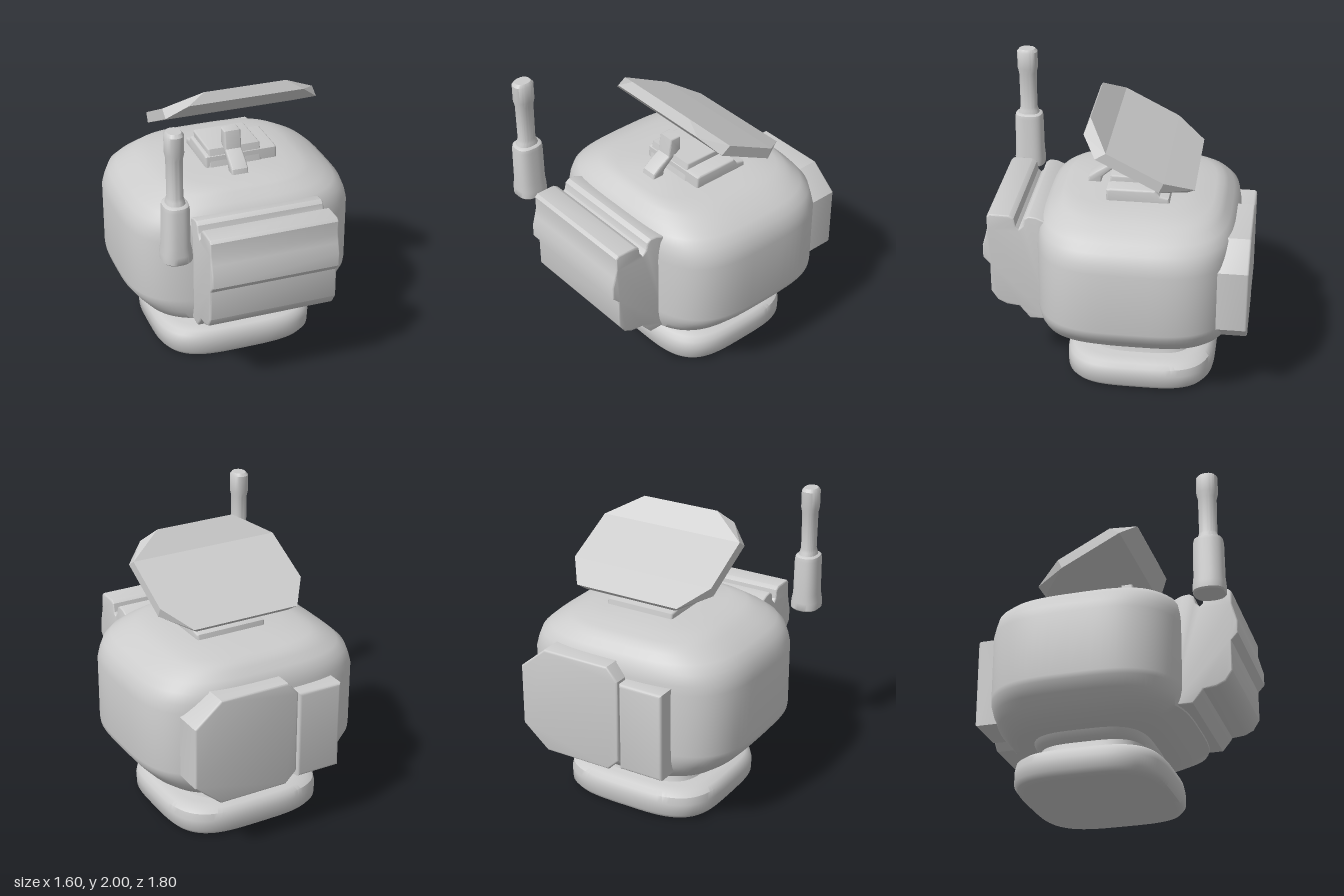
import * as THREE from 'three';
import { toCreasedNormals } from 'three/addons/utils/BufferGeometryUtils.js';

const grey = new THREE.MeshStandardMaterial({ color: 0xcccccc });
grey.name = 'lightGrey';

// Stack of rounded-square rings: [y, halfWidth, frontZ, backZ]
function loft(rings, n, segments = 96) {
  const pos = [], index = [];
  const power = (v) => Math.sign(v) * Math.pow(Math.abs(v), 2 / n);
  const first = rings[0], last = rings[rings.length - 1];
  const centre = ([y, , f, b]) => [y, 0, (f + b) / 2, (f + b) / 2];
  const all = [centre(first), ...rings, centre(last)];
  all.forEach(([y, hx, f, b], i) => {
    for (let j = 0; j < segments; j++) {
      const t = (j / segments) * Math.PI * 2;
      pos.push(hx * power(Math.cos(t)), y, (f + b) / 2 + ((f - b) / 2) * power(Math.sin(t)));
      if (i === all.length - 1) continue;
      const k = (j + 1) % segments, a = i * segments, c = a + segments;
      if (i > 0) index.push(a + j, c + j, a + k);
      if (i < all.length - 2) index.push(a + k, c + j, c + k);
    }
  });
  const g = new THREE.BufferGeometry();
  g.setAttribute('position', new THREE.Float32BufferAttribute(pos, 3));
  g.setIndex(index);
  return toCreasedNormals(g, 0.7);
}

// Bevelled slab from an outline, centred on its thickness
function slab(points, width, bevel) {
  const shape = new THREE.Shape(points.map(([x, y]) => new THREE.Vector2(x, y)));
  const depth = width - 2 * bevel;
  const g = new THREE.ExtrudeGeometry(shape, {
    depth, bevelSize: bevel, bevelThickness: bevel, bevelOffset: -bevel, bevelSegments: 3,
  });
  g.translate(0, 0, -depth / 2);
  return toCreasedNormals(g, 0.6);
}

// Slab whose outline is given as [z, y] and whose thickness runs along x
const sideSlab = (points, width, bevel) => slab(points, width, bevel).rotateY(-Math.PI / 2);

// Tilted panel: upper and lower rows of [z, y, halfWidth]
function tiltedPanel(upper, lower) {
  const pos = [], last = upper.length - 1;
  const quad = (a, b, c, d) => pos.push(...a, ...b, ...c, ...a, ...c, ...d);
  const L = ([z, y, w]) => [-w, y, z], R = ([z, y, w]) => [w, y, z];
  for (let i = 0; i < last; i++) {
    const [a, b, c, d] = [upper[i], upper[i + 1], lower[i], lower[i + 1]];
    quad(L(a), L(b), R(b), R(a));
    quad(L(c), R(c), R(d), L(d));
    quad(R(a), R(b), R(d), R(c));
    quad(L(a), L(c), L(d), L(b));
  }
  quad(L(upper[last]), L(lower[last]), R(lower[last]), R(upper[last]));
  quad(L(upper[0]), R(upper[0]), R(lower[0]), L(lower[0]));
  const g = new THREE.BufferGeometry();
  g.setAttribute('position', new THREE.Float32BufferAttribute(pos, 3));
  g.computeVertexNormals();
  return g;
}

export function createModel() {
  const group = new THREE.Group();
  const add = (name, geometry, x = 0, y = 0, z = 0) => {
    const mesh = new THREE.Mesh(geometry, grey);
    mesh.name = name;
    mesh.position.set(x, y, z);
    group.add(mesh);
  };

  // Foot and neck
  add('foot', loft([
    [0, 0.5, 0.31, -0.61], [0.01, 0.54, 0.345, -0.65], [0.04, 0.565, 0.365, -0.67], [0.12, 0.57, 0.365, -0.67],
    [0.17, 0.56, 0.355, -0.66], [0.195, 0.53, 0.33, -0.63], [0.21, 0.47, 0.28, -0.58],
  ], 3.6));
  add('neck', loft([
    [0.2, 0.41, 0.21, -0.54], [0.23, 0.4, 0.2, -0.53], [0.29, 0.39, 0.21, -0.52], [0.31, 0.43, 0.23, -0.54],
    [0.36, 0.46, 0.24, -0.56],
  ], 3.6));

  // Main rounded housing
  add('body', loft([
    [0.35, 0.44, 0.31, -0.66], [0.355, 0.52, 0.35, -0.71], [0.39, 0.62, 0.43, -0.74], [0.44, 0.69, 0.53, -0.78],
    [0.5, 0.745, 0.545, -0.8], [0.565, 0.795, 0.55, -0.81], [0.6, 0.8, 0.55, -0.81], [1.04, 0.8, 0.55, -0.81],
    [1.1, 0.785, 0.545, -0.8], [1.17, 0.755, 0.535, -0.79], [1.22, 0.7, 0.51, -0.75], [1.26, 0.63, 0.47, -0.71],
    [1.29, 0.57, 0.43, -0.68], [1.305, 0.53, 0.41, -0.63], [1.32, 0.48, 0.39, -0.55], [1.335, 0.36, 0.34, -0.47],
  ], 3.4));

  // Grooved front case
  add('frontCase', sideSlab([
    [0.45, 0.45], [0.59, 0.45], [0.64, 0.51], [0.66, 0.54], [0.75, 0.55], [0.81, 0.58], [0.855, 0.65],
    [0.855, 0.86], [0.9, 0.91], [0.9, 1.0], [0.88, 1.07], [0.865, 1.13], [0.865, 1.22], [0.845, 1.24],
    [0.71, 1.24], [0.68, 1.22], [0.67, 1.16], [0.65, 1.14], [0.62, 1.17], [0.61, 1.22], [0.58, 1.24],
    [0.53, 1.235], [0.45, 1.2],
  ], 0.88, 0.01));

  // Two-stage aerial
  const ring = (y, hx, hz) => [y, hx, hz, -hz];
  add('aerialSleeve', loft([
    ring(1.11, 0.09, 0.1), ring(1.12, 0.1, 0.108), ring(1.17, 0.1, 0.108), ring(1.23, 0.088, 0.103),
    ring(1.48, 0.085, 0.1), ring(1.505, 0.08, 0.095), ring(1.515, 0.065, 0.08),
  ], 2.6, 48), -0.635, 0, 0.765);
  add('aerialRod', loft([
    ring(1.5, 0.065, 0.08), ring(1.54, 0.056, 0.066), ring(1.56, 0.05, 0.06), ring(1.82, 0.052, 0.062),
    ring(1.86, 0.06, 0.072), ring(1.98, 0.06, 0.072), ring(2.0, 0.045, 0.055),
  ], 2.3, 48), -0.635, 0, 0.765);

  // Roof mount: stepped block and bent hook
  add('mountStep', sideSlab([
    [0.08, 1.31], [0.075, 1.41], [0.05, 1.42], [-0.25, 1.42], [-0.28, 1.38], [-0.34, 1.37], [-0.35, 1.31],
  ], 0.51, 0.015), 0.06);
  add('mountBlock', sideSlab([
    [0.09, 1.31], [0.06, 1.46], [-0.26, 1.46], [-0.26, 1.44], [-0.22, 1.38], [-0.22, 1.31],
  ], 0.37, 0.012), 0.015);
  add('hook', sideSlab([
    [0.24, 1.32], [0.23, 1.37], [0.18, 1.41], [0.1, 1.46], [0.09, 1.53], [0.08, 1.585], [0, 1.585],
    [0, 1.48], [0.06, 1.44], [0.14, 1.37], [0.15, 1.32],
  ], 0.115, 0.01), -0.005);

  // Tilted panel above the roof
  add('tiltedPanel', tiltedPanel(
    [[-0.52, 1.51, 0.385], [-0.33, 1.615, 0.53], [0.04, 1.805, 0.53], [0.17, 1.94, 0.285]],
    [[-0.47, 1.47, 0.345], [-0.3, 1.55, 0.53], [0.11, 1.76, 0.53], [0.2, 1.87, 0.4]],
  ), 0.05);

  // Rear plates
  add('rearOctagon', slab([
    [-0.04, 0.43], [0.45, 0.43], [0.64, 0.59], [0.64, 1.02], [0.45, 1.18], [-0.04, 1.18], [-0.12, 1.09], [-0.12, 0.51],
  ], 0.25, 0.015), 0, 0, -0.775);
  add('rearBox', slab([[-0.45, 0.46], [-0.13, 0.46], [-0.13, 1.08], [-0.45, 1.08]], 0.2, 0.02), 0, 0, -0.8);

  return group;
}
